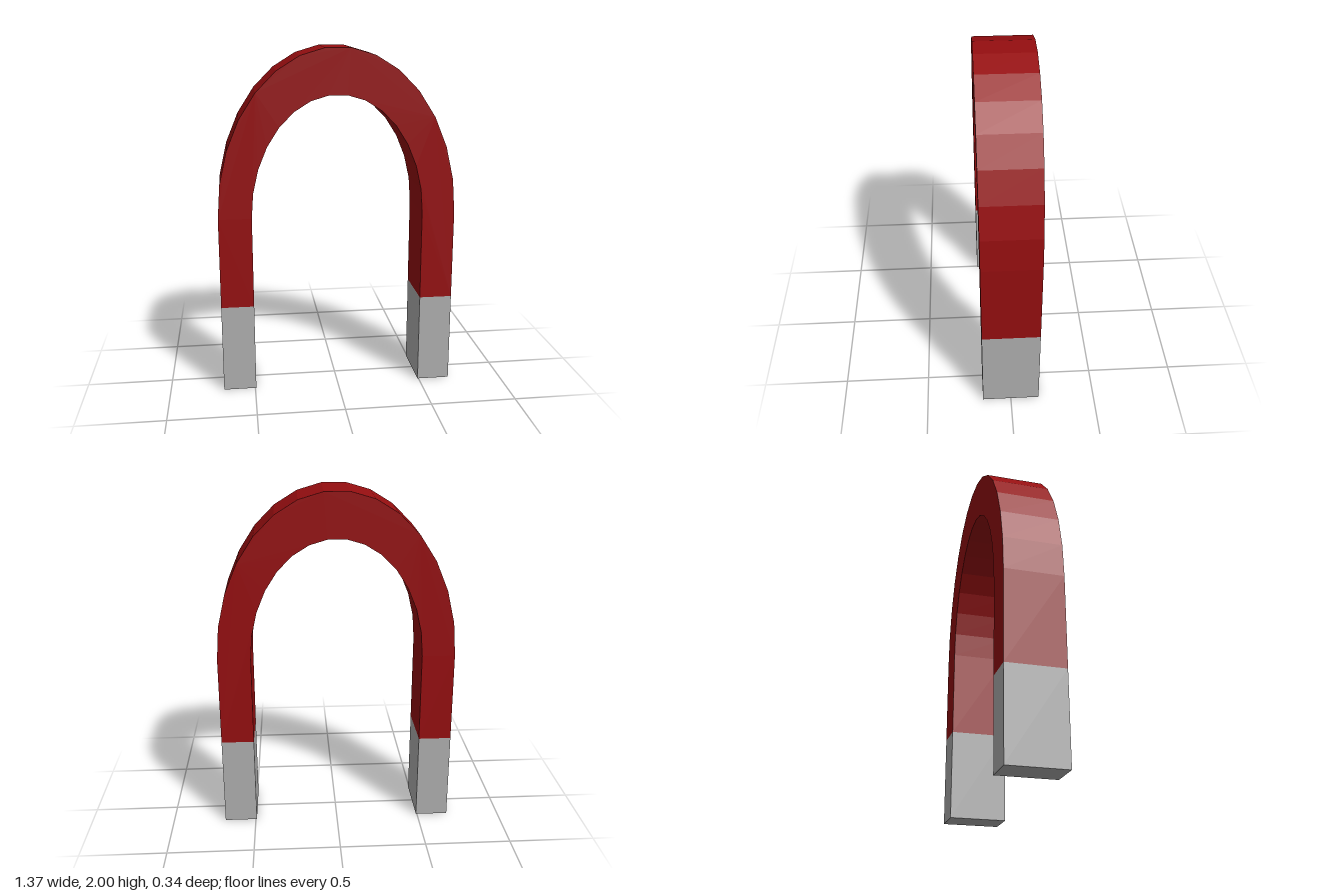
import * as THREE from 'three';

const DEPTH = 0.336;
const SPRING = 1.05; // height where the legs meet the arch
const OUTER = { rx: 0.685, ry: 0.955 };
const INNER = { rx: 0.494, ry: 0.694 };
const TIP_TOP = { left: 0.53, right: 0.52 };

// Half-ellipse in 15 straight facets, running from +x over the top to -x
function arc({ rx, ry }, segments = 15) {
  return Array.from({ length: segments + 1 }, (_, i) => {
    const a = (i / segments) * Math.PI;
    return new THREE.Vector2(rx * Math.cos(a), SPRING + ry * Math.sin(a));
  });
}

export function createModel() {
  const red = new THREE.MeshStandardMaterial({ color: 0x960e10, flatShading: true });
  red.name = 'red paint';
  const grey = new THREE.MeshStandardMaterial({ color: 0xb0b0b0, flatShading: true });
  grey.name = 'grey metal';

  const group = new THREE.Group();
  group.name = 'horseshoeMagnet';

  // Red body: arch and upper legs as one extruded outline
  const outline = new THREE.Shape([
    new THREE.Vector2(OUTER.rx, TIP_TOP.left),
    ...arc(OUTER),
    new THREE.Vector2(-OUTER.rx, TIP_TOP.right),
    new THREE.Vector2(-INNER.rx, TIP_TOP.right),
    ...arc(INNER).reverse(),
    new THREE.Vector2(INNER.rx, TIP_TOP.left),
  ]);
  const bodyGeometry = new THREE.ExtrudeGeometry(outline, { depth: DEPTH, bevelEnabled: false });
  bodyGeometry.translate(0, 0, -DEPTH / 2);
  const body = new THREE.Mesh(bodyGeometry, red);
  body.name = 'archBody';
  group.add(body);

  // Bare metal pole tips
  for (const [side, sign] of [['left', 1], ['right', -1]]) {
    const height = TIP_TOP[side];
    const tip = new THREE.Mesh(new THREE.BoxGeometry(OUTER.rx - INNER.rx, height, DEPTH), grey);
    tip.position.set(sign * (OUTER.rx + INNER.rx) / 2, height / 2, 0);
    tip.name = side + 'PoleTip';
    group.add(tip);
  }

  return group;
}
